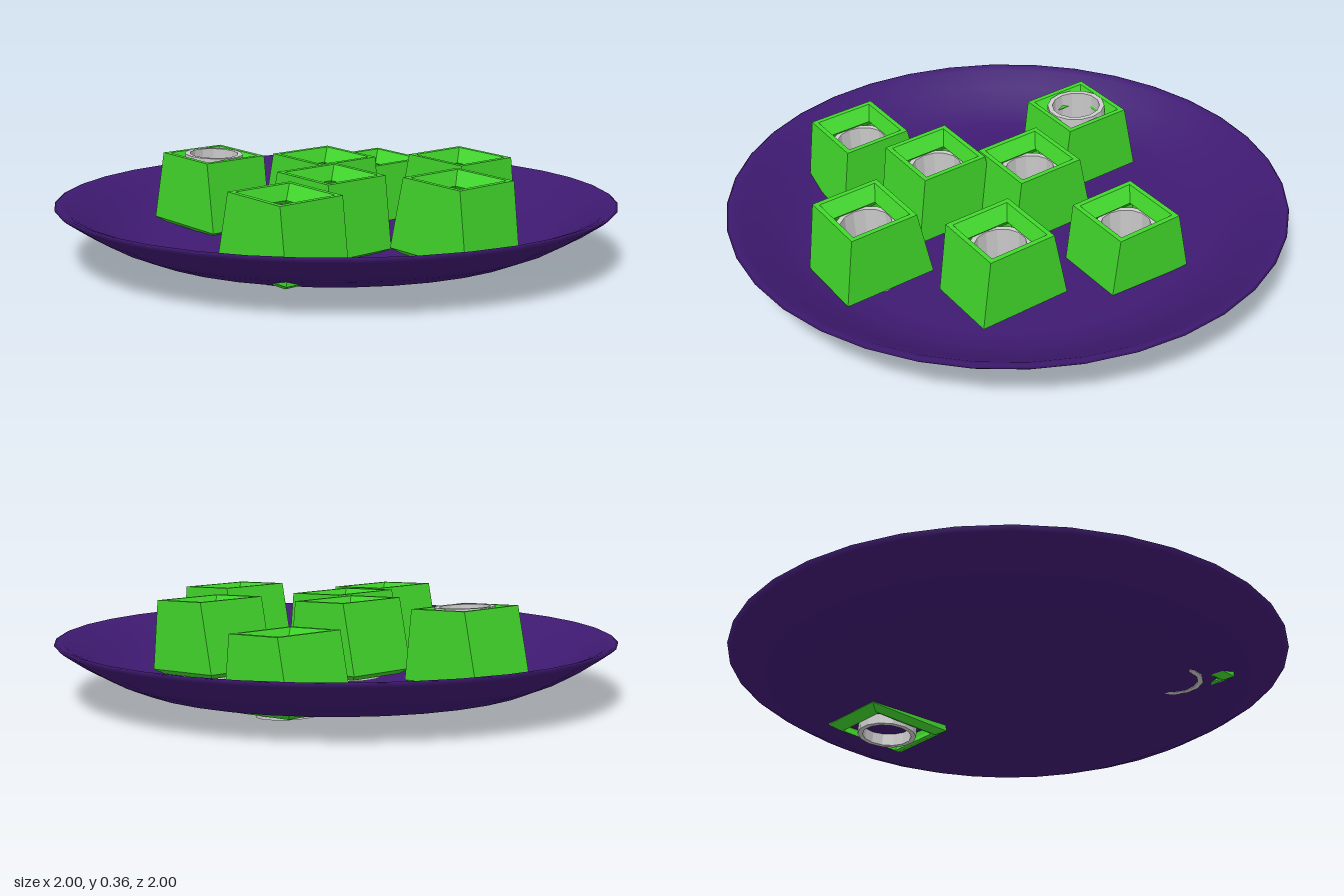
import * as THREE from 'three';

const green = new THREE.MeshStandardMaterial({ color: 0x40d62b, flatShading: true });
const purple = new THREE.MeshStandardMaterial({ color: 0x3f1a72 });
const grey = new THREE.MeshStandardMaterial({ color: 0xcccccc, flatShading: true });

const points = (list) => list.map(([x, y]) => new THREE.Vector2(x, y));

// Skins rectangular loops [halfX, halfZ, y] into a closed, hollow body
function rectangularLoft(loops) {
  const corners = [[1, 1], [1, -1], [-1, -1], [-1, 1]];
  const at = ([hx, hz, y], i) => {
    const [sx, sz] = corners[i % 4];
    return [sx * hx, y, sz * hz];
  };
  const positions = [];
  loops.forEach((a, k) => {
    const b = loops[(k + 1) % loops.length];
    for (let i = 0; i < 4; i++) {
      positions.push(...at(a, i), ...at(a, i + 1), ...at(b, i + 1));
      positions.push(...at(a, i), ...at(b, i + 1), ...at(b, i));
    }
  });
  const geometry = new THREE.BufferGeometry();
  geometry.setAttribute('position', new THREE.Float32BufferAttribute(positions, 3));
  geometry.computeVertexNormals();
  return geometry;
}

export function createModel() {
  const model = new THREE.Group();
  model.name = 'plateOfPieces';

  // Shallow dish with a flat floor and flared rim
  const plate = new THREE.Mesh(new THREE.LatheGeometry(points([
    [0, 0.05], [0.64, 0.05], [0.73, 0.058], [0.82, 0.095], [0.91, 0.145],
    [0.985, 0.195], [1, 0.208], [0.99, 0.213], [0.96, 0.203],
    [0.89, 0.16], [0.81, 0.115], [0.73, 0.08], [0.64, 0.07], [0, 0.07],
  ]), 36), purple);
  plate.name = 'plate';
  model.add(plate);

  // Tapered block: sunken top, square opening, hollow inside, lipped base
  const blockGeometry = rectangularLoft([
    [0.168, 0.1365, 0], [0.125, 0.1365, 0.25], [0.108, 0.118, 0.25],
    [0.083, 0.083, 0.2], [0.115, 0.11, 0.17], [0.125, 0.11, 0],
    [0.12, 0.107, -0.018], [0.135, 0.112, -0.018],
  ]);

  // Round sleeve inside each block
  const sleeveGeometry = new THREE.LatheGeometry(points([
    [0.089, -0.03], [0.107, -0.03], [0.107, 0.19], [0.089, 0.19], [0.089, -0.03],
  ]), 14);

  // x, z, height of the base, lift of the sleeve
  const pieces = [
    [-0.22, -0.42, 0.038, 0],
    [0.26, -0.36, 0.103, 0],
    [-0.093, -0.018, 0.103, 0],
    [0.567, 0, 0.1, 0],
    [0.166, 0.198, 0.093, 0],
    [0.292, 0.527, 0.083, 0],
    [-0.457, 0.198, 0.09, 0.063],
  ];
  pieces.forEach(([x, z, y, lift], i) => {
    const piece = new THREE.Group();
    piece.name = `piece${i + 1}`;
    const block = new THREE.Mesh(blockGeometry, green);
    block.name = 'block';
    const sleeve = new THREE.Mesh(sleeveGeometry, grey);
    sleeve.name = 'sleeve';
    sleeve.position.y = lift;
    piece.add(block, sleeve);
    piece.position.set(x, y, z);
    piece.rotation.z = -0.055;
    model.add(piece);
  });

  return model;
}
